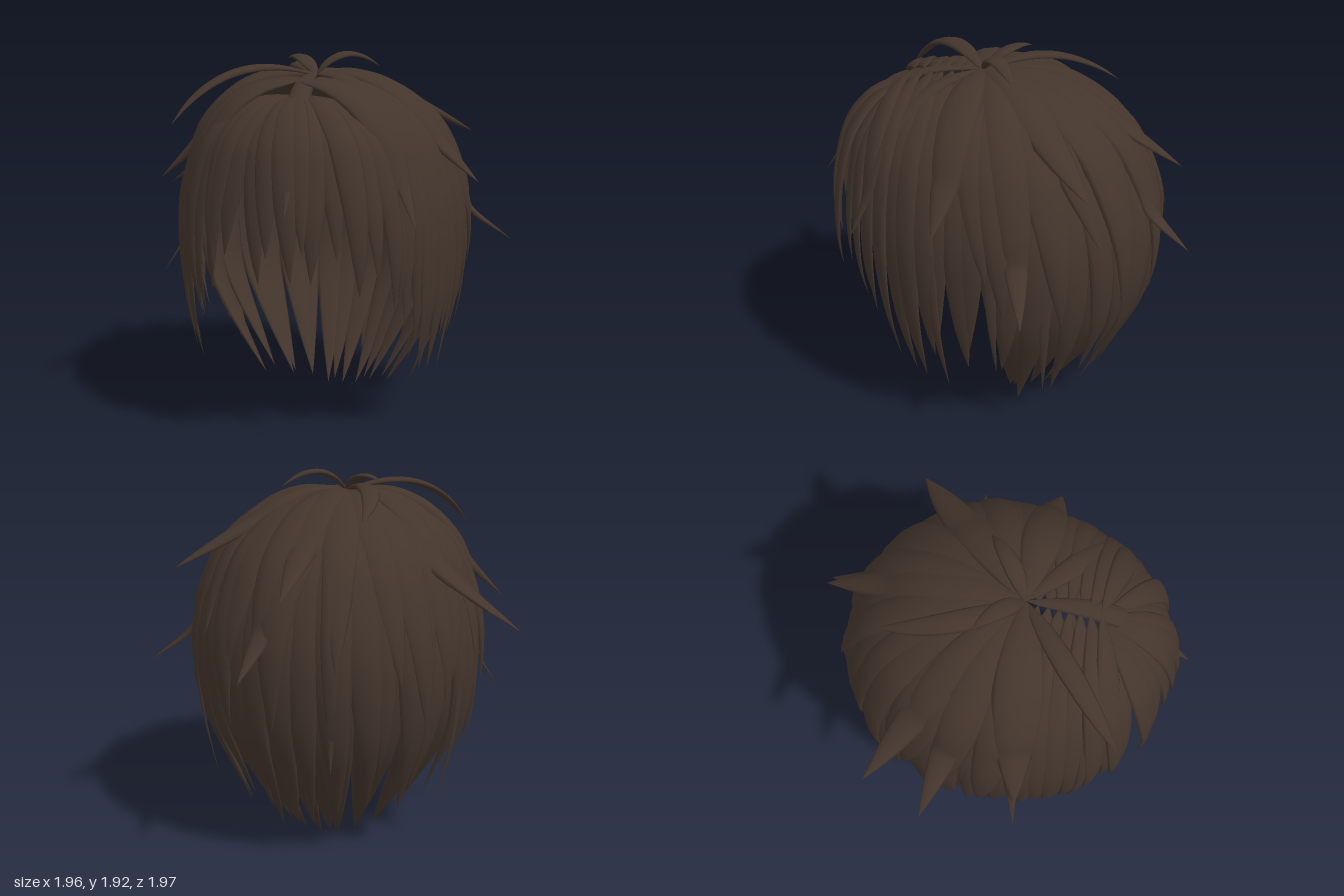
import * as THREE from 'three';

const SEG = 26, SIDES = 10;
const HALF_X = 0.74, FRONT_Z = 0.91, BACK_Z = 0.81;
const V = (x, y, z) => new THREE.Vector3(x, y, z);

// Head silhouette from crown to nape: x = share of full radius, y = height
const profile = new THREE.SplineCurve([
  [0, 1.83], [0.3, 1.8], [0.55, 1.72], [0.78, 1.57], [0.9, 1.4], [0.98, 1.2],
  [1, 1], [0.97, 0.8], [0.88, 0.6], [0.55, 0.2], [0.36, 0],
].map(([r, y]) => new THREE.Vector2(r, y))).getSpacedPoints(240);

function seeded(seed) {
  return () => {
    seed = (seed * 16807) % 2147483647;
    return seed / 2147483647;
  };
}

// A closed, tapered lock swept along a path; its broad side faces away from the head
function lockGeometry(path, width, rise, thick) {
  const curve = new THREE.CatmullRomCurve3(path);
  const pos = [], index = [];
  for (let i = 0; i <= SEG; i++) {
    const t = i / SEG;
    const p = curve.getPointAt(t), T = curve.getTangentAt(t);
    const N = p.clone().sub(V(0, 0.9, 0));
    N.addScaledVector(T, -N.dot(T)).normalize();
    const B = N.clone().cross(T);
    const grow = Math.pow(Math.sin(Math.min(1, t / rise) * Math.PI / 2), 0.7);
    const w = Math.max(0.0005, width * grow * (1 - Math.pow(t, 3.5)));
    for (let j = 0; j < SIDES; j++) {
      const a = j / SIDES * Math.PI * 2, s = Math.sin(a);
      const q = p.clone().addScaledVector(B, Math.cos(a) * w)
        .addScaledVector(N, s * w * (s > 0 ? thick : thick * 0.6));
      pos.push(q.x, q.y, q.z);
      if (i < SEG) {
        const a0 = i * SIDES + j, b0 = i * SIDES + (j + 1) % SIDES;
        index.push(a0, b0, a0 + SIDES, b0, b0 + SIDES, a0 + SIDES);
      }
    }
  }
  const g = new THREE.BufferGeometry();
  g.setAttribute('position', new THREE.Float32BufferAttribute(pos, 3));
  g.setIndex(index);
  g.computeVertexNormals();
  return g;
}

// Path that follows the head from a root down to height tip; phi 0 = front, 90 = left
function headPath({ phi, tip, root = V(-0.02, 0, 0.12), scale = 1, twist = 0, tuck = 1, flick = 0 }) {
  const end = profile.findIndex(p => p.y <= tip);
  const pts = [];
  for (let i = 0; i <= 14; i++) {
    const t = i / 14;
    const p = profile[Math.round(t * end)];
    const a = THREE.MathUtils.degToRad(phi + twist * t * t);
    const share = p.y < 1 ? 1 - tuck * (1 - p.x) : p.x;
    const lift = (scale - 1) * Math.min(1, t * 3);
    const r = share * (1 + lift) + flick * Math.pow(t, 5);
    const k = p.y < 1 ? 0 : 1 - p.x * p.x;
    const c = Math.cos(a);
    pts.push(V(
      HALF_X * Math.sin(a) * r + root.x * k,
      p.y + (root.y + lift * 0.6) * k,
      (c > 0 ? FRONT_Z : BACK_Z) * c * r + (p.y < 1 ? 0 : root.z * (1 - p.x))));
  }
  return pts;
}

export function createModel() {
  const model = new THREE.Group();
  model.name = 'hair';
  const hair = new THREE.MeshStandardMaterial({ color: 0x43352c });
  hair.name = 'dark brown';
  const rand = seeded(4217);
  const vary = a => (rand() * 2 - 1) * a;

  const group = name => {
    const g = new THREE.Group();
    g.name = name;
    model.add(g);
    return g;
  };
  const add = (g, name, path, width, rise = 0.45, thick = 0.36) => {
    const m = new THREE.Mesh(lockGeometry(path, width, rise, thick), hair);
    m.name = name;
    g.add(m);
  };

  // Long inner layer reaching the nape
  const nape = group('napeLocks');
  for (let i = 0; i < 15; i++) {
    const edge = Math.abs(i - 7) / 7;
    add(nape, 'napeLock', headPath({
      phi: 101 + i * 158 / 14, tip: 0.01 + 0.12 * edge * edge + rand() * 0.07,
      scale: 0.95, twist: vary(7),
    }), 0.125);
  }

  // Middle layer with tips that lift off the neck
  const back = group('backLocks');
  for (let i = 0; i < 17; i++) {
    add(back, 'backLock', headPath({
      phi: 104 + i * 152 / 16, tip: 0.12 + rand() * 0.4,
      scale: 0.99, twist: vary(10), tuck: 0.9, flick: 0.05 + rand() * 0.06,
    }), 0.095 + rand() * 0.02);
  }

  // Short broad outer layer radiating from the crown
  const crown = group('crownLocks');
  for (let i = 0; i < 15; i++) {
    add(crown, 'crownLock', headPath({
      phi: 84 + i * 192 / 14 + vary(3), tip: 0.72 + rand() * 0.45,
      scale: 1.015, twist: vary(12), flick: 0.02 + rand() * 0.03,
    }), 0.1 + rand() * 0.025, 0.5);
  }

  // Side locks in front of the ears, rooted along the parting
  const sides = group('sideLocks');
  const sideTips = [0.62, 0.56, 0.4, 0.37, 0.5, 0.54, 0.46, 0.62, 0.68];
  const wispTips = [0.44, 0.34, 0.46, 0.3];
  for (const s of [1, -1]) {
    sideTips.forEach((tip, i) => add(sides, 'sideLock', headPath({
      phi: s * (47 + i * 5.9), tip: tip + vary(0.04), twist: s * vary(4), tuck: 0.35,
      root: V(-0.02, -0.02, Math.max(0.12, 0.48 - i * 0.05)), scale: 0.99 + vary(0.012),
    }), Math.min(0.1, 0.07 + i * 0.006), 0.3));
    // Thin wisps beside the cheeks
    wispTips.forEach((tip, i) => add(sides, 'sideWisp', headPath({
      phi: s * (54 + i * 19), tip: tip + vary(0.04), twist: s * 4, tuck: 0.4,
      root: V(-0.02, -0.02, i < 2 ? 0.34 : 0.12), scale: 1.01, flick: 0.02,
    }), 0.045, 0.4));
  }

  // Fringe fanning out from the front of the parting, longer toward the temples
  const fringe = group('fringe');
  for (let i = 0; i < 15; i++) {
    const u = (i - 7) / 7;
    add(fringe, 'fringeLock', headPath({
      phi: u * 46, tip: 0.98 - 0.27 * u * u + (i % 2 ? -0.08 : 0.06) + vary(0.03),
      root: V(-0.02, -0.09, 0.48), scale: 1 + vary(0.02), twist: vary(5), flick: 0.02,
    }), 0.068 + vary(0.01), 0.5);
  }

  // Flicks that follow the head, then spring out to a free tip
  const flicks = group('flicks');
  const flickRows = [
    [0.14, V(-0.86, 1.27, 0.2)], [0.12, V(0.84, 1.3, 0.2)],
    [0.11, V(-0.98, 1.18, -0.26)], [0.11, V(-0.87, 1.32, -0.55)],
    [0.11, V(0.98, 0.93, -0.25)], [0.11, V(0.73, 1.49, -0.52)],
    [0.11, V(0.28, 1.04, -0.99)], [0.1, V(0.09, 1.42, -0.92)],
    [0.06, V(-0.86, 0.75, 0.2)], [0.06, V(-0.12, 0.55, -0.8)],
    [0.06, V(0.04, 1.22, 0.98)], [0.075, V(0.6, 1.13, 0.68)],
  ];
  for (const [width, tip] of flickRows) {
    const phi = Math.atan2(tip.x / HALF_X, tip.z / (tip.z > 0 ? FRONT_Z : BACK_Z));
    const path = headPath({ phi: THREE.MathUtils.radToDeg(phi), tip: tip.y + 0.2, scale: 1.03 });
    add(flicks, 'flick', [...path, tip], width, 0.5, 0.4);
  }

  // Arched locks rising from the crown: width, bend, tip
  const arches = group('crownArches');
  const archRows = [
    [0.05, V(0.1, 2.01, 0.04), V(0.28, 1.86, -0.09)],
    [0.05, V(-0.12, 1.95, 0), V(-0.23, 1.9, -0.1)],
    [0.06, V(-0.27, 1.94, -0.2), V(-0.23, 1.74, -0.56)],
    [0.06, V(-0.42, 1.97, 0.4), V(-0.62, 1.6, 0.65)],
  ];
  for (const [width, bend, tip] of archRows) {
    const arch = new THREE.QuadraticBezierCurve3(V(-0.02, 1.82, 0.12), bend, tip);
    add(arches, 'crownArch', arch.getPoints(8), width, 0.5, 0.4);
  }

  return model;
}
